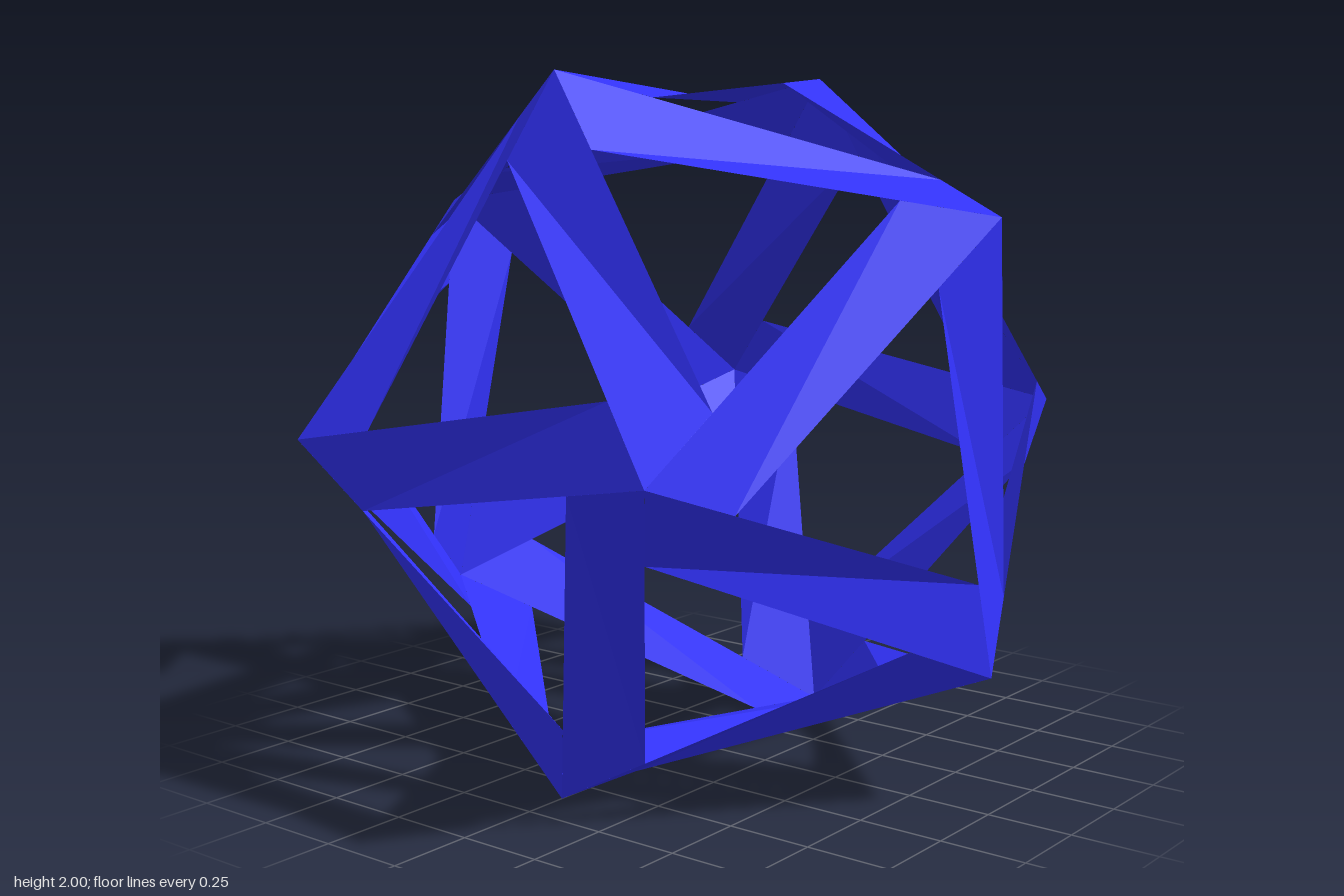
import * as THREE from 'three';

// One folded strut: two triangles meeting in a shallow valley, spanning an
// edge from (-H,0,1) to (H,0,1); the shape repeats under a half turn about z.
const H = 0.618;
function strutGeometry() {
  const A = [-H, 0, 1], B = [H, 0, 1];
  const P = [-0.442, -0.19, 0.9275], Q = [0.442, 0.19, 0.9275];
  const geometry = new THREE.BufferGeometry();
  geometry.setAttribute('position',
    new THREE.Float32BufferAttribute([...A, ...P, ...Q, ...B, ...Q, ...P], 3));
  geometry.computeVertexNormals();
  return geometry;
}

export function createModel() {
  const model = new THREE.Group();
  model.name = 'icosahedralFrame';
  const frame = new THREE.Group();
  frame.name = 'struts';
  frame.position.y = 1;
  model.add(frame);

  const material = new THREE.MeshStandardMaterial({
    color: 0x3333ff, flatShading: true, side: THREE.DoubleSide,
  });
  const geometry = strutGeometry();

  // Twelve corners of the icosahedron
  const corners = [];
  for (const a of [-1, 1]) for (const b of [-H, H]) {
    corners.push(new THREE.Vector3(0, a, b), new THREE.Vector3(a, b, 0), new THREE.Vector3(b, 0, a));
  }

  // One strut along each of the thirty edges
  corners.forEach((a, i) => corners.slice(i + 1).forEach((b) => {
    if (a.distanceTo(b) > 2 * H + 0.05) return;
    const along = b.clone().sub(a).normalize();
    const out = a.clone().add(b).normalize();
    const across = out.clone().cross(along);
    const strut = new THREE.Mesh(geometry, material);
    strut.name = 'strut';
    strut.quaternion.setFromRotationMatrix(new THREE.Matrix4().makeBasis(along, across, out));
    frame.add(strut);
  }));
  return model;
}
